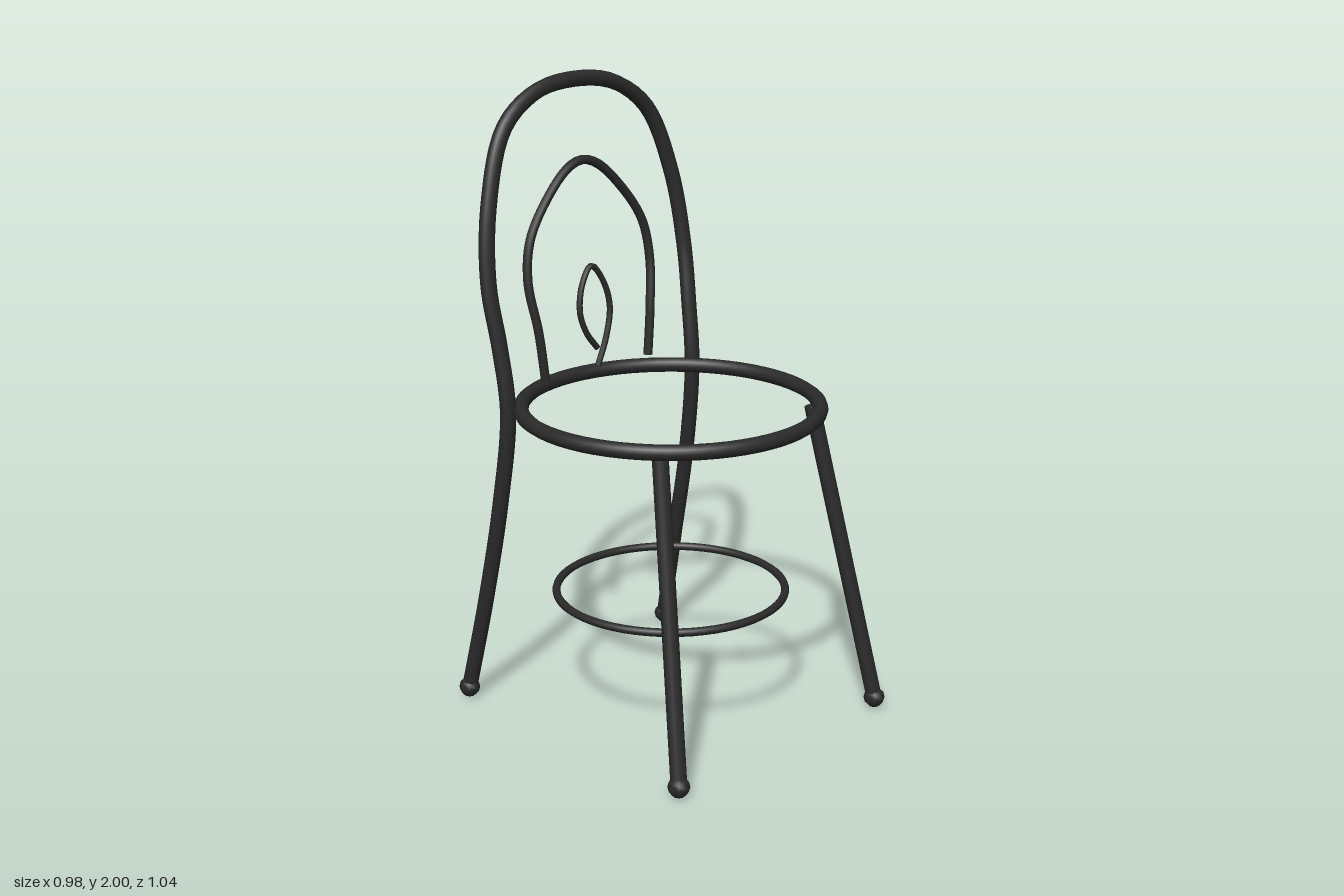
import * as THREE from 'three';

const iron = new THREE.MeshStandardMaterial({ color: 0x2a2a2a });
iron.name = 'blackIron';

export function createModel() {
  const chair = new THREE.Group();
  chair.name = 'chair';

  const add = (name, geometry, parent = chair) => {
    const mesh = new THREE.Mesh(geometry, iron);
    mesh.name = name;
    parent.add(mesh);
    return mesh;
  };

  // Bent round bar through a few points, with flat capped ends
  const bar = (name, points, radius, segments) => {
    const group = new THREE.Group();
    group.name = name;
    const curve = new THREE.CatmullRomCurve3(points.map((p) => new THREE.Vector3(...p)));
    add(name + 'Bar', new THREE.TubeGeometry(curve, segments, radius, 10, false), group);
    for (const t of [0, 1]) {
      const cap = add(name + 'Cap', new THREE.CircleGeometry(radius, 10), group);
      const end = curve.getPointAt(t);
      cap.position.copy(end);
      cap.lookAt(end.clone().addScaledVector(curve.getTangentAt(t), t ? 1 : -1));
    }
    chair.add(group);
  };

  // Mirrors a half path (ending on the centre line) into a full arch
  const arch = (half) => [
    ...half,
    ...half.slice(0, -1).reverse().map(([x, y, z]) => [-x, y, z]),
  ];

  const ring = (name, radius, tube, y) => {
    const mesh = add(name, new THREE.TorusGeometry(radius, tube, 10, 64));
    mesh.rotation.x = Math.PI / 2;
    mesh.position.y = y;
  };

  // Seat hoop and lower brace hoop
  ring('seatRing', 0.465, 0.024, 1.005);
  ring('braceRing', 0.365, 0.013, 0.398);

  // Rear legs and backrest in one continuous bar
  bar('backFrame', arch([
    [0.441, 0.04, -0.486], [0.422, 0.36, -0.413], [0.41, 0.7, -0.343],
    [0.4, 1.0, -0.308], [0.407, 1.2, -0.331], [0.417, 1.4, -0.366],
    [0.385, 1.64, -0.393], [0.3, 1.855, -0.417], [0.165, 1.95, -0.427],
    [0, 1.975, -0.43],
  ]), 0.025, 120);

  // Inner arch of the backrest
  bar('innerArch', arch([
    [0.222, 1.06, -0.335], [0.24, 1.22, -0.343], [0.26, 1.38, -0.366],
    [0.235, 1.51, -0.379], [0.13, 1.65, -0.392], [0.055, 1.71, -0.397],
    [0, 1.725, -0.399],
  ]), 0.015, 64);

  // Small leaf-shaped loop
  bar('leafLoop', [
    [0, 1.065, -0.335], [0.04, 1.155, -0.338], [0.064, 1.25, -0.346],
    [0.045, 1.335, -0.356], [0, 1.39, -0.362], [-0.045, 1.335, -0.356],
    [-0.064, 1.25, -0.346], [-0.042, 1.18, -0.34], [0, 1.125, -0.337],
  ], 0.01, 48);

  // Front legs, and a faceted foot under every leg
  for (const side of [1, -1]) {
    bar(side > 0 ? 'frontLegLeft' : 'frontLegRight', [
      [side * 0.33, 1.0, 0.293], [side * 0.441, 0.04, 0.486],
    ], 0.025, 1);
    for (const end of [1, -1]) {
      const foot = add('foot', new THREE.SphereGeometry(0.034, 8, 6));
      foot.position.set(side * 0.442, 0.034, end * 0.487);
    }
  }

  return chair;
}
